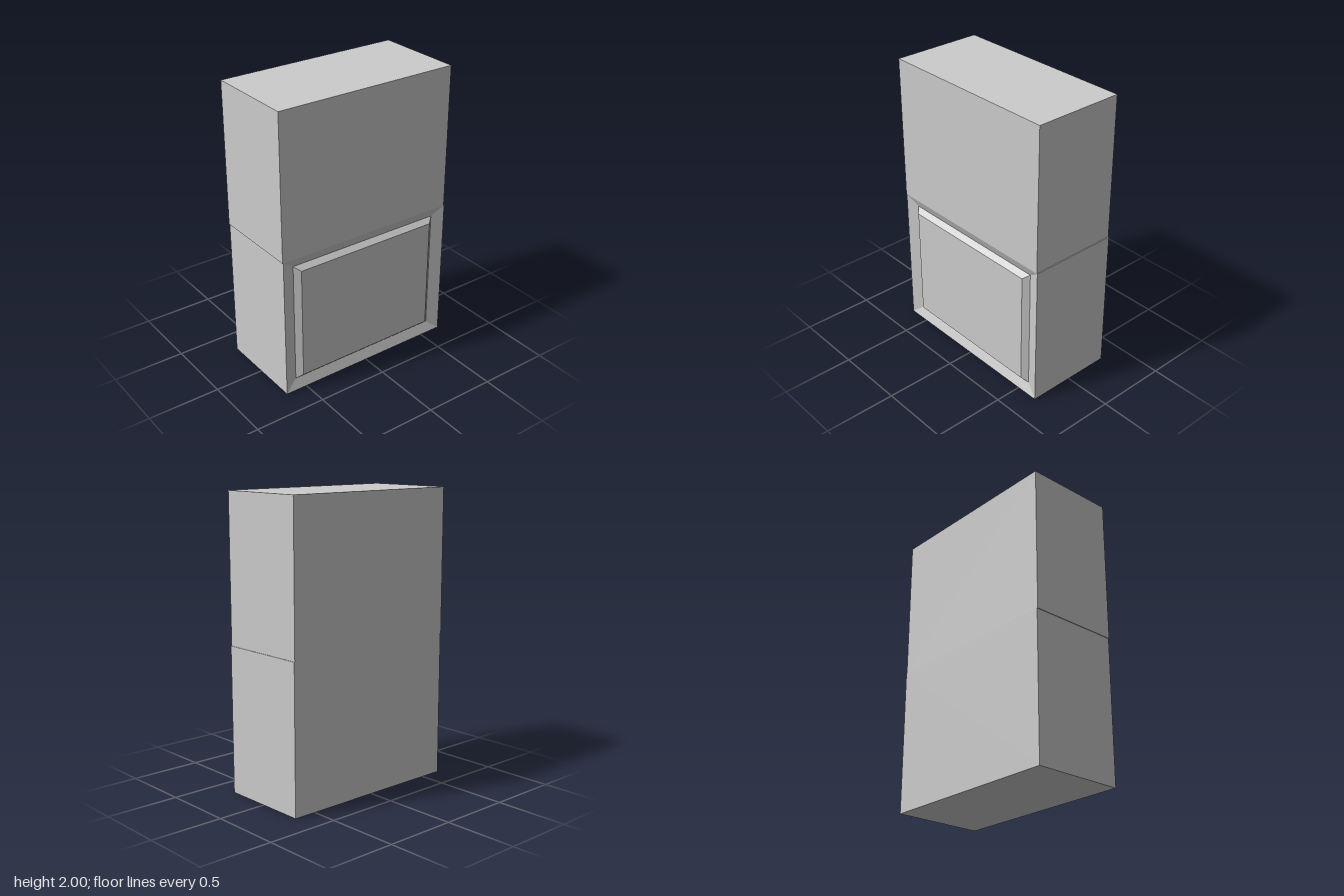
import * as THREE from 'three';

// Four corners of a rectangle, counter-clockwise seen from the front
const rect = (x0, x1, y0, y1, z) => [[x0, y0, z], [x1, y0, z], [x1, y1, z], [x0, y1, z]];

// Skin a stack of rectangles from back to front and cap both ends
function loftRects(rings) {
  const pos = [];
  const quad = (a, b, c, d) => pos.push(...a, ...b, ...c, ...a, ...c, ...d);
  for (let r = 0; r < rings.length - 1; r++) {
    for (let i = 0; i < 4; i++) {
      const j = (i + 1) % 4;
      quad(rings[r][i], rings[r][j], rings[r + 1][j], rings[r + 1][i]);
    }
  }
  const [a, b, c, d] = rings[0];
  quad(a, d, c, b);
  quad(...rings[rings.length - 1]);
  const geo = new THREE.BufferGeometry();
  geo.setAttribute('position', new THREE.Float32BufferAttribute(pos, 3));
  geo.computeVertexNormals();
  return geo;
}

export function createModel() {
  const group = new THREE.Group();
  group.name = 'cabinet';
  const material = new THREE.MeshStandardMaterial({ color: 0xcccccc, flatShading: true });

  // Plain upper block
  const upper = new THREE.Mesh(new THREE.BoxGeometry(1.313, 1, 0.635), material);
  upper.name = 'upperBlock';
  upper.position.set(-0.0035, 1.5, -0.0025);
  group.add(upper);

  // Lower block: front slopes in to a groove, then out to a raised panel
  const lower = new THREE.Mesh(loftRects([
    rect(-0.655, 0.658, 0, 1, -0.32),
    rect(-0.655, 0.658, 0, 1, 0.315),
    rect(-0.565, 0.567, 0.073, 0.933, 0.287),
    rect(-0.525, 0.527, 0.105, 0.9, 0.32),
  ]), material);
  lower.name = 'lowerBlockWithPanel';
  group.add(lower);

  return group;
}
